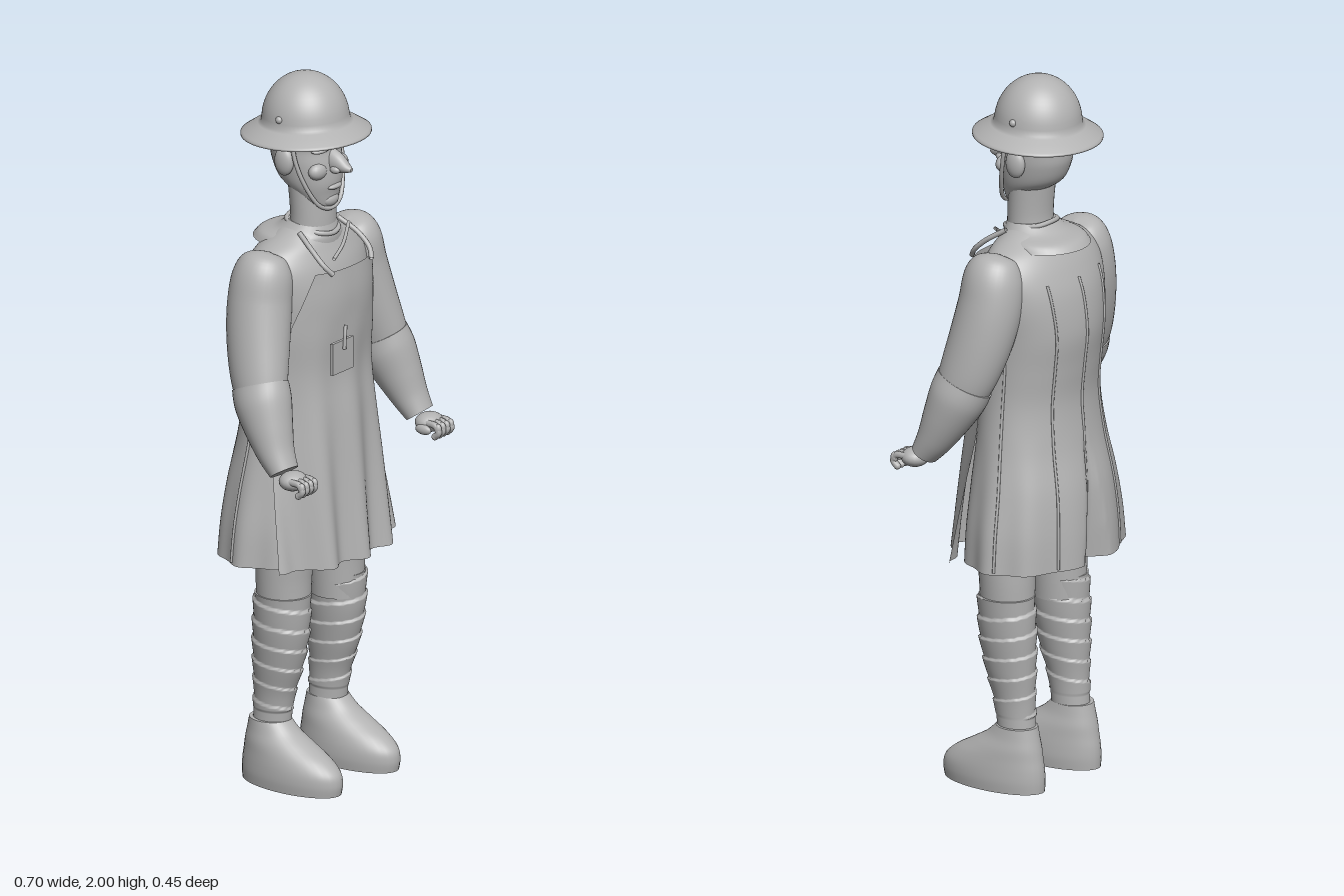
import * as THREE from 'three';

const clay = new THREE.MeshStandardMaterial({ color: 0xb2b2b2, side: THREE.DoubleSide });
clay.name = 'clay grey';

const V = (x, y, z) => new THREE.Vector3(x, y, z);
const TAU = Math.PI * 2;

// Smooth interpolation through rows of numbers, t from 0 to 1
function sample(rows, t) {
  const f = t * (rows.length - 1), i = Math.min(Math.floor(f), rows.length - 2), k = f - i;
  const at = (j) => rows[Math.max(0, Math.min(rows.length - 1, j))];
  return rows[i].map((b, n) => {
    const a = at(i - 1)[n], c = at(i + 1)[n], d = at(i + 2)[n];
    return b + 0.5 * k * (c - a + k * (2 * a - 5 * b + 4 * c - d + k * (3 * (b - c) + d - a)));
  });
}

// Elliptical sections [x, y, z, radiusA, radiusB] along a path; flat keeps them level
function sweep(rows, { n = 36, steps = 6, flat = false, caps = true, mod = null } = {}) {
  const m = (rows.length - 1) * steps, pos = [], idx = [];
  for (let i = 0; i <= m; i++) {
    const t = i / m, [x, y, z, ra, rb] = sample(rows, t);
    const p = sample(rows, Math.max(0, t - 0.01)), q = sample(rows, Math.min(1, t + 0.01));
    const T = flat ? V(0, 1, 0) : V(q[0] - p[0], q[1] - p[1], q[2] - p[2]).normalize();
    const X = V(1, 0, 0).addScaledVector(T, -T.x).normalize(), B = X.clone().cross(T);
    for (let j = 0; j < n; j++) {
      const a = j / n * TAU, k = mod ? mod(a, y, t) : 1;
      const P = V(x, y, z).addScaledVector(X, Math.cos(a) * ra * k).addScaledVector(B, Math.sin(a) * rb * k);
      pos.push(P.x, P.y, P.z);
      if (i < m) {
        const b = i * n + j, c = i * n + (j + 1) % n;
        idx.push(b, b + n, c, c, b + n, c + n);
      }
    }
  }
  if (caps) for (const end of [0, m]) {
    const s = pos.length / 3, [x, y, z] = sample(rows, end / m);
    pos.push(...pos.slice(end * n * 3, (end + 1) * n * 3), x, y, z);
    for (let j = 0; j < n; j++) {
      const b = s + j, c = s + (j + 1) % n;
      idx.push(s + n, end ? c : b, end ? b : c);
    }
  }
  return build(pos, idx);
}

function build(pos, idx) {
  const g = new THREE.BufferGeometry();
  g.setAttribute('position', new THREE.Float32BufferAttribute(pos, 3));
  g.setIndex(idx);
  g.computeVertexNormals();
  return g;
}

// Level sections given as [y, halfWidth, zFront, zBack]
const level = (rows, x = 0) => rows.map(([y, rx, zf, zb]) => [x, y, (zf + zb) / 2, rx, (zf - zb) / 2]);

const tube = (pts, r, seg = 24) =>
  new THREE.TubeGeometry(new THREE.CatmullRomCurve3(pts.map((p) => V(...p))), seg, r, 8);

const COAT = level([
  [0.65, 0.268, 0.13, -0.226], [0.75, 0.258, 0.13, -0.222], [0.86, 0.238, 0.125, -0.21],
  [0.98, 0.215, 0.115, -0.185], [1.1, 0.198, 0.11, -0.172], [1.2, 0.195, 0.11, -0.18],
  [1.3, 0.2, 0.115, -0.19], [1.4, 0.215, 0.11, -0.178], [1.47, 0.215, 0.095, -0.153],
  [1.52, 0.18, 0.075, -0.125], [1.555, 0.115, 0.06, -0.095], [1.58, 0.07, 0.045, -0.07],
]);

// Skirt pleats and the centre back vent, both fading out at the waist
function coatFold(a, y) {
  const low = THREE.MathUtils.clamp((1.02 - y) / 0.37, 0, 1);
  const d = Math.abs(a - 1.5 * Math.PI) / (0.03 + 0.17 * low);
  return 1 + 0.025 * low * Math.cos(a * 10) - 0.3 * low * Math.max(0, 1 - d);
}

function coatPoint(a, t, lift) {
  const [, y, z, rx, rz] = sample(COAT, t), k = coatFold(a, y) + lift;
  return [Math.cos(a) * rx * k, y, z + Math.sin(a) * rz * k];
}

// Apron: an open sheet with hem scallops
function apronGeometry() {
  const rows = [[0.65, 0.258, 0.172, 0.065], [0.85, 0.238, 0.155, 0.045], [1.05, 0.208, 0.14, 0.03],
    [1.18, 0.195, 0.128, 0.035], [1.3, 0.185, 0.135, 0.055], [1.4, 0.155, 0.14, 0.085], [1.48, 0.125, 0.135, 0.105]];
  const nu = 64, nv = 36, pos = [], idx = [];
  for (let i = 0; i <= nv; i++) {
    const [y, w, zf, ze] = sample(rows, i / nv), fold = 0.018 * THREE.MathUtils.clamp((1.35 - y) / 0.7, 0, 1);
    for (let j = 0; j <= nu; j++) {
      const s = j / nu * 2 - 1, x = s * w;
      pos.push(x, y, ze + (zf - ze) * (1 - Math.abs(s) ** 2.6) + fold * Math.cos(x * TAU / 0.13));
      if (i < nv && j < nu) {
        const b = i * (nu + 1) + j, u = b + nu + 1;
        idx.push(b, b + 1, u, b + 1, u + 1, u);
      }
    }
  }
  return build(pos, idx);
}

export function createModel() {
  const root = new THREE.Group();
  const add = (name, geo, parent = root) => {
    const mesh = new THREE.Mesh(geo, clay);
    mesh.name = name;
    parent.add(mesh);
    return mesh;
  };
  const ball = (name, c, r, parent = root) => {
    const mesh = add(name, new THREE.SphereGeometry(1, 20, 14), parent);
    mesh.position.set(...c);
    mesh.scale.set(...r);
    return mesh;
  };

  // Coat with back seams, collar and apron
  add('coat', sweep(COAT, { n: 120, flat: true, caps: false, mod: coatFold }));
  for (const deg of [-8, -58, -90, -122, -172]) {
    const pts = [];
    for (let i = 0; i <= 16; i++) pts.push(coatPoint(THREE.MathUtils.degToRad(deg + 360), 0.01 + i / 16 * 0.69, 0.005));
    add('coatSeam', tube(pts, 0.004, 48));
  }
  add('collar', sweep(level([[1.53, 0.125, 0.07, -0.172], [1.55, 0.115, 0.07, -0.15],
    [1.565, 0.09, 0.065, -0.1], [1.59, 0.068, 0.058, -0.066]]), { flat: true }));
  add('collarBand', tube([[-0.066, 1.575, 0], [-0.04, 1.565, 0.056], [0, 1.56, 0.07], [0.04, 1.565, 0.056], [0.066, 1.575, 0],
    [0.045, 1.585, -0.055], [0, 1.59, -0.07], [-0.045, 1.585, -0.055], [-0.066, 1.575, 0]], 0.007, 48));
  add('lapelFold', tube([[-0.05, 1.505, 0.11], [0.01, 1.53, 0.095], [0.08, 1.565, 0.06]], 0.005));
  add('apron', apronGeometry());
  for (const s of [-1, 1]) {
    add('apronStrap', tube([[s * 0.085, 1.475, 0.135], [s * 0.1, 1.5, 0.115], [s * 0.1, 1.535, 0.075], [s * 0.085, 1.57, 0.02]], 0.007));
  }

  // Chest pouch and pencil
  add('pouch', new THREE.BoxGeometry(0.092, 0.09, 0.009)).position.set(-0.073, 1.245, 0.155);
  add('pencil', tube([[-0.072, 1.265, 0.163], [-0.068, 1.3, 0.162], [-0.06, 1.33, 0.158]], 0.005));

  // Neck and head
  add('neck', sweep(level([[1.53, 0.072, 0.06, -0.068], [1.6, 0.069, 0.06, -0.058], [1.7, 0.073, 0.055, -0.065]]), { flat: true }));
  add('head', sweep(level([[1.63, 0.025, 0.058, 0.015], [1.642, 0.046, 0.068, -0.005], [1.675, 0.068, 0.074, -0.045],
    [1.71, 0.084, 0.08, -0.095], [1.76, 0.094, 0.077, -0.118], [1.8, 0.097, 0.07, -0.122],
    [1.83, 0.099, 0.074, -0.124], [1.89, 0.09, 0.06, -0.115]]), { flat: true }));
  add('nose', sweep([[0, 1.768, 0.05, 0.024, 0.04], [0, 1.762, 0.085, 0.022, 0.03],
    [0, 1.754, 0.115, 0.015, 0.014], [0, 1.751, 0.132, 0.006, 0.006]], { n: 20 }));
  ball('lips', [0, 1.695, 0.073], [0.028, 0.009, 0.014]);
  ball('chin', [0, 1.655, 0.055], [0.032, 0.022, 0.022]);
  for (const s of [-1, 1]) {
    ball('brow', [s * 0.043, 1.806, 0.058], [0.034, 0.009, 0.018]);
    ball('cheek', [s * 0.045, 1.745, 0.052], [0.034, 0.025, 0.022]);
    ball('nostril', [s * 0.016, 1.748, 0.088], [0.012, 0.011, 0.016]);
    ball('ear', [s * 0.1, 1.772, -0.022], [0.018, 0.04, 0.03]);
  }
  add('chinStrap', tube([[-0.103, 1.86, 0.005], [-0.102, 1.78, 0.018], [-0.08, 1.7, 0.04], [-0.045, 1.645, 0.058], [0, 1.63, 0.064],
    [0.045, 1.645, 0.058], [0.08, 1.7, 0.04], [0.102, 1.78, 0.018], [0.103, 1.86, 0.005]], 0.006, 48));

  // Brimmed helmet with rivets
  const helmet = new THREE.Group();
  helmet.name = 'helmet';
  helmet.position.set(0, 1.84, -0.024);
  helmet.rotation.x = -0.04;
  root.add(helmet);
  const profile = [[0, 0.012], [0.1, 0.012], [0.14, 0.003], [0.172, -0.012], [0.178, -0.011], [0.178, -0.006], [0.172, -0.002],
    [0.15, 0.012], [0.13, 0.021], [0.122, 0.027]];
  for (let i = 1; i <= 14; i++) {
    const a = i / 14 * Math.PI / 2;
    profile.push([Math.max(0, 0.12 * Math.cos(a)), 0.028 + 0.132 * Math.sin(a)]);
  }
  add('helmetShell', new THREE.LatheGeometry(profile.map(([r, y]) => new THREE.Vector2(r, y)), 64), helmet);
  for (const s of [-1, 1]) ball('rivet', [s * 0.117, 0.054, 0.0], [0.009, 0.01, 0.01], helmet);

  for (const s of [-1, 1]) {
    const flip = (rows) => rows.map(([x, ...r]) => [s * x, ...r]);
    const side = s > 0 ? 'left' : 'right';

    // Arm and cuffed forearm
    add(side + 'Sleeve', sweep(flip([[0.175, 1.535, -0.02, 0.005, 0.005], [0.18, 1.523, -0.02, 0.05, 0.055],
      [0.195, 1.48, -0.02, 0.078, 0.082], [0.21, 1.4, -0.02, 0.085, 0.09], [0.235, 1.3, -0.005, 0.081, 0.09],
      [0.262, 1.2, 0.02, 0.071, 0.082], [0.28, 1.12, 0.05, 0.06, 0.065]])));
    add(side + 'Forearm', sweep(flip([[0.265, 1.185, 0.025, 0.071, 0.083], [0.275, 1.14, 0.043, 0.075, 0.081],
      [0.286, 1.08, 0.07, 0.066, 0.068], [0.295, 1.02, 0.1, 0.054, 0.052], [0.3, 0.97, 0.133, 0.044, 0.038]])));

    // Hand with curled fingers
    const hand = new THREE.Group();
    hand.name = side + 'Hand';
    root.add(hand);
    ball('palm', [s * 0.301, 0.952, 0.165], [0.042, 0.027, 0.038], hand);
    for (let i = 0; i < 4; i++) {
      const x = s * (0.274 + i * 0.0185);
      add('finger', tube([[x, 0.958, 0.175], [x, 0.955, 0.208], [x, 0.938, 0.218], [x, 0.924, 0.205]], 0.0095, 16), hand);
      ball('knuckle', [x, 0.948, 0.215], [0.0095, 0.015, 0.011], hand);
      ball('fingertip', [x, 0.924, 0.205], [0.0095, 0.0095, 0.0095], hand);
    }
    ball('thumb', [s * 0.261, 0.942, 0.175], [0.011, 0.014, 0.026], hand);

    // Leg wrapped in a spiral of cloth below the knee
    add(side + 'Thigh', sweep(level([[0.48, 0.07, 0.066, -0.085], [0.58, 0.076, 0.068, -0.085],
      [0.68, 0.08, 0.075, -0.085], [0.9, 0.085, 0.08, -0.1]], s * 0.118), { flat: true }));
    add(side + 'LegWrap', sweep(level([[0.16, 0.047, 0.01, -0.1], [0.25, 0.048, 0.022, -0.095], [0.34, 0.058, 0.048, -0.095],
      [0.44, 0.067, 0.066, -0.093], [0.545, 0.07, 0.068, -0.086]], s * 0.123), {
      flat: true, n: 48, steps: 28,
      mod: (a, y) => {
        const turn = (y - 0.2) / 0.058 + s * a / TAU;
        return y < 0.21 ? 1 : 1 + 0.09 * (turn - Math.floor(turn));
      },
    }));

    // Boot
    add(side + 'Boot', sweep(level([[0, 0.075, 0.186, -0.133], [0.03, 0.078, 0.19, -0.134], [0.06, 0.077, 0.182, -0.132],
      [0.09, 0.073, 0.148, -0.127], [0.12, 0.067, 0.095, -0.122], [0.15, 0.058, 0.045, -0.115],
      [0.18, 0.052, 0.012, -0.108]], s * 0.127), { flat: true }));
  }
  return root;
}
